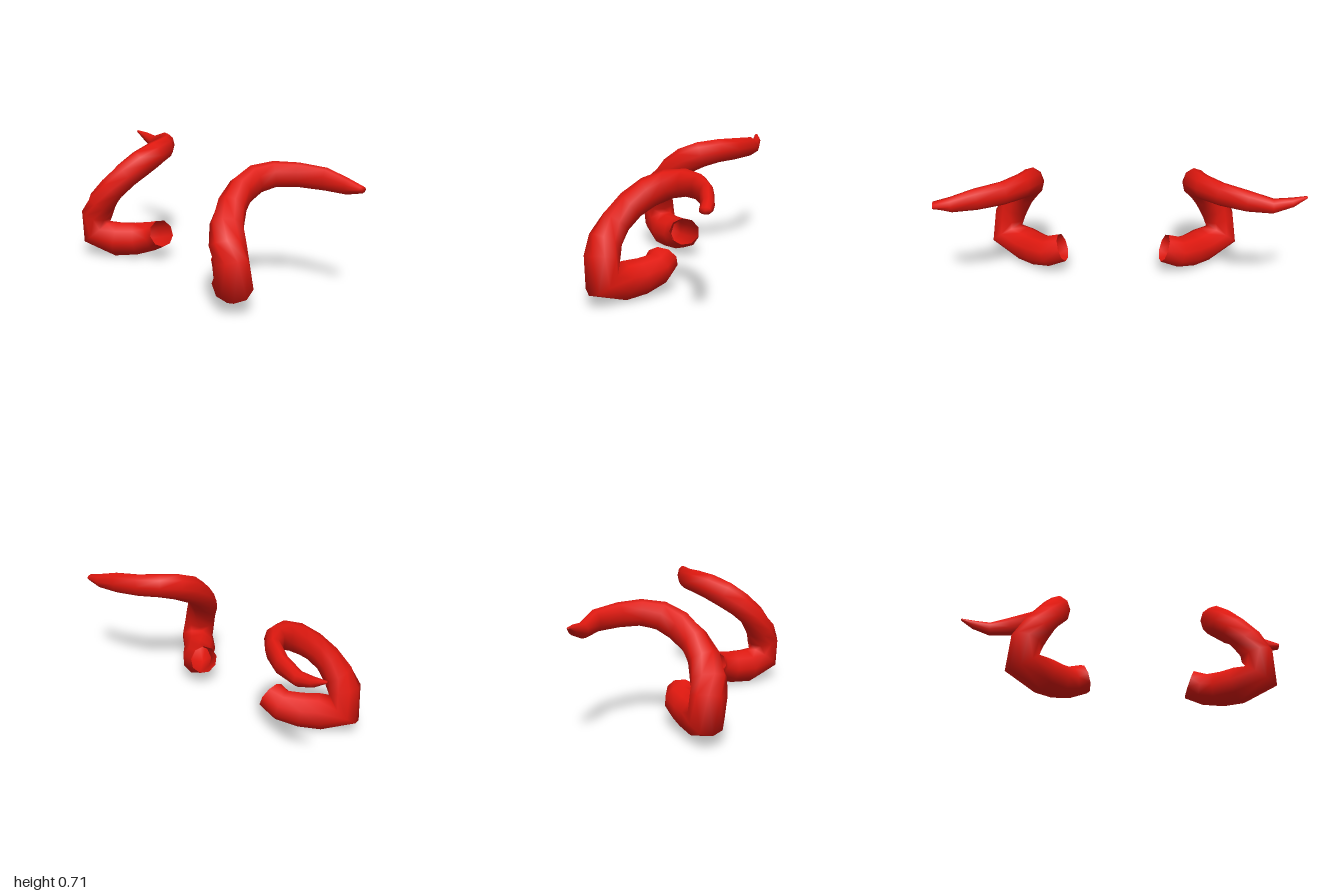
import * as THREE from 'three';

const SIDES = 9;
const ELBOW = 4; // index of the sharply bent ring

// Cross-sections: centre x, y, z, then radius in the bend plane and radius across it
const body = [
  [0.34, 0.165, 0.02, 0.082, 0.092],
  [0.42, 0.135, 0.03, 0.09, 0.09],
  [0.50, 0.112, 0.10, 0.1, 0.095],
  [0.58, 0.106, 0.18, 0.106, 0.1],
  [0.695, 0.14, 0.255, 0.105, 0.1],
  [0.675, 0.26, 0.262, 0.092, 0.098],
  [0.635, 0.34, 0.25, 0.085, 0.098],
  [0.58, 0.43, 0.21, 0.078, 0.09],
  [0.535, 0.51, 0.14, 0.08, 0.08],
  [0.505, 0.575, 0.05, 0.084, 0.07],
  [0.50, 0.62, -0.05, 0.08, 0.065],
  [0.54, 0.64, -0.15, 0.073, 0.056],
  [0.63, 0.64, -0.24, 0.068, 0.045],
];
const bluntTip = [
  [0.77, 0.632, -0.302, 0.063, 0.038],
  [0.90, 0.612, -0.33, 0.044, 0.034],
  [0.995, 0.61, -0.335, 0.018, 0.03],
];
const curledTip = [
  [0.77, 0.634, -0.315, 0.06, 0.04],
  [0.90, 0.612, -0.327, 0.042, 0.035],
  [1.0, 0.637, -0.332, 0.027, 0.025],
  [1.078, 0.663, -0.32, 0.006, 0.008],
];

// Skins a tube over oval rings; mirror = -1 reflects it across x
function hornGeometry(rings, shift, mirror) {
  const pos = [], index = [];
  const centres = rings.map(([x, y, z]) => new THREE.Vector3(x + shift, y, z));
  const last = rings.length - 1;
  const tri = (a, b, c) => (mirror > 0 ? index.push(a, b, c) : index.push(a, c, b));

  rings.forEach(([, , , inPlane, across], i) => {
    const t = centres[Math.min(i + 1, last)].clone().sub(centres[Math.max(i - 1, 0)]).normalize();
    // Sideways axis is level, except at the elbow where the path doubles back
    const s = i < ELBOW ? -1 : 1;
    const n = i === ELBOW
      ? new THREE.Vector3(-0.67, -0.33, 0.67)
      : new THREE.Vector3(t.z * s, 0, -t.x * s);
    n.addScaledVector(t, -n.dot(t)).normalize();
    const m = t.clone().cross(n);
    for (let j = 0; j < SIDES; j++) {
      const a = (j / SIDES) * Math.PI * 2;
      const p = centres[i].clone()
        .addScaledVector(n, Math.cos(a) * across)
        .addScaledVector(m, Math.sin(a) * inPlane);
      pos.push(p.x * mirror, p.y, p.z);
    }
  });

  for (let i = 0; i < last; i++) {
    for (let j = 0; j < SIDES; j++) {
      const a = i * SIDES + j, b = i * SIDES + (j + 1) % SIDES;
      tri(a, b, a + SIDES);
      tri(b, b + SIDES, a + SIDES);
    }
  }
  // Closed tip; the root stays open
  const tip = pos.length / 3, c = centres[last];
  pos.push(c.x * mirror, c.y, c.z);
  for (let j = 0; j < SIDES; j++) tri(last * SIDES + j, last * SIDES + (j + 1) % SIDES, tip);

  const g = new THREE.BufferGeometry();
  g.setAttribute('position', new THREE.Float32BufferAttribute(pos, 3));
  g.setIndex(index);
  g.computeVertexNormals();
  return g;
}

export function createModel() {
  const group = new THREE.Group();
  group.name = 'hornPair';
  const red = new THREE.MeshStandardMaterial({ color: 0xe0180f, side: THREE.DoubleSide });

  const left = new THREE.Mesh(hornGeometry([...body, ...bluntTip], 0, 1), red);
  left.name = 'leftHorn';
  // The right horn sits closer to the middle and ends in a longer, curled point
  const right = new THREE.Mesh(hornGeometry([...body, ...curledTip], -0.08, -1), red);
  right.name = 'rightHorn';

  group.add(left, right);
  return group;
}
